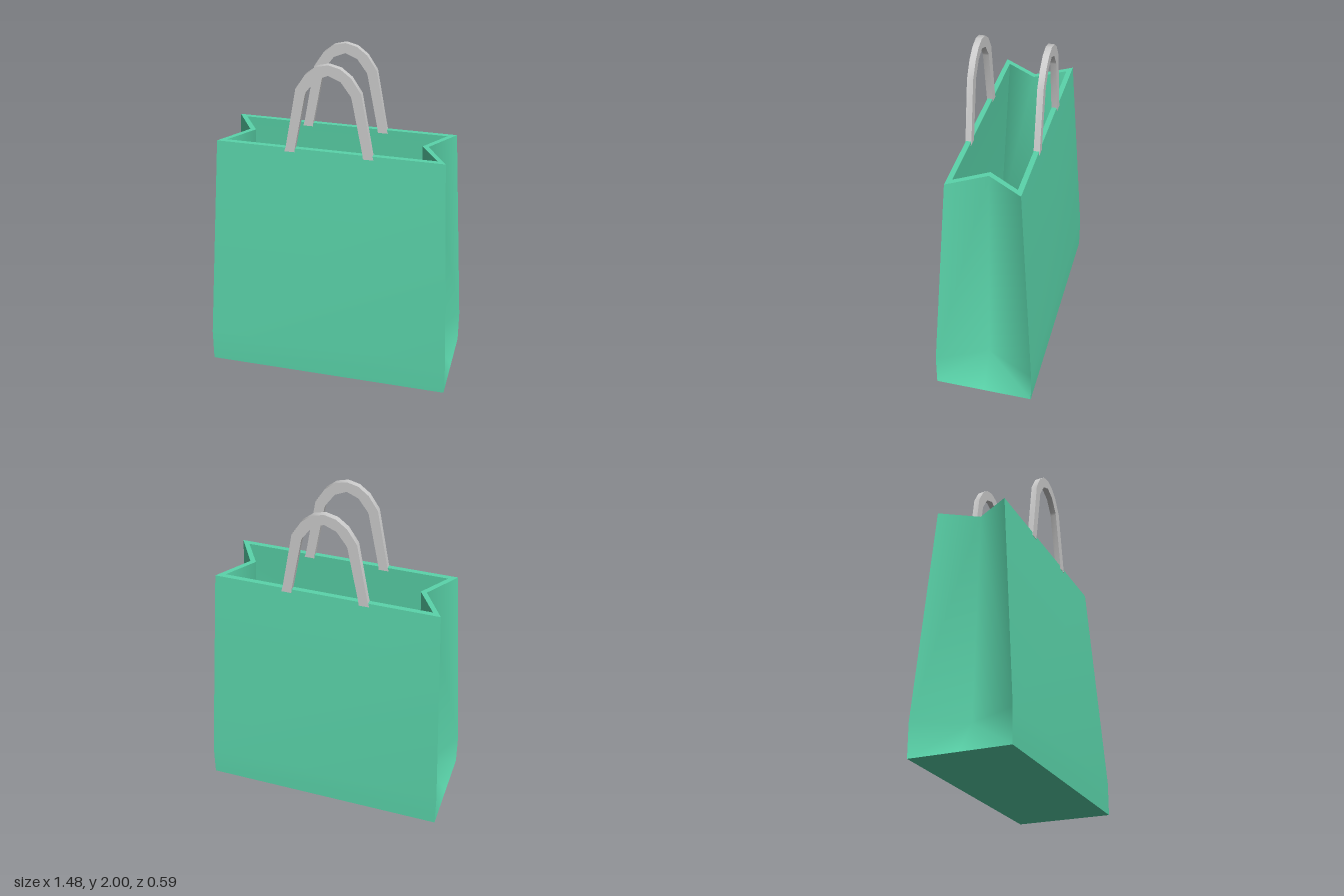
import * as THREE from 'three';
import { toCreasedNormals } from 'three/addons/utils/BufferGeometryUtils.js';

const green = new THREE.MeshStandardMaterial({ name: 'greenPaper', color: 0x5ad4aa });
const grey = new THREE.MeshStandardMaterial({ name: 'greyHandle', color: 0xcdcdcd });

// Six-point outline: four corners plus an inward fold at each side,
// counterclockwise seen from above.
function ring(y, cornerX, cornerZ, foldX) {
  return [
    [cornerX, y, cornerZ], [foldX, y, 0], [cornerX, y, -cornerZ],
    [-cornerX, y, -cornerZ], [-foldX, y, 0], [-cornerX, y, cornerZ],
  ];
}

// Strip of quads between two rings; the diagonals meet at the side folds.
function strip(a, b, out) {
  for (let i = 0; i < 6; i++) {
    const j = (i + 1) % 6;
    if (i === 1 || i === 4) out.push([a[i], a[j], b[i]], [a[j], b[j], b[i]]);
    else out.push([a[i], a[j], b[j]], [a[i], b[j], b[i]]);
  }
}

function cap(r, out) {
  for (let k = 2; k < 6; k++) out.push([r[1], r[k], r[(k + 1) % 6]]);
}

function paperMesh(name, triangles, flip = false) {
  const points = triangles.flatMap(t => (flip ? [t[0], t[2], t[1]] : t).flat());
  const geometry = new THREE.BufferGeometry();
  geometry.setAttribute('position', new THREE.Float32BufferAttribute(points, 3));
  geometry.computeVertexNormals();
  const mesh = new THREE.Mesh(toCreasedNormals(geometry, 1.2), green);
  mesh.name = name;
  return mesh;
}

function walls(name, rings, flip) {
  const triangles = [];
  for (let i = 0; i + 1 < rings.length; i++) strip(rings[i], rings[i + 1], triangles);
  return paperMesh(name, triangles, flip);
}

function panel(name, r, flip) {
  const triangles = [];
  cap(r, triangles);
  return paperMesh(name, triangles, flip);
}

// Flat arched band, mirrored about x = 0
function handleGeometry() {
  const outer = [[0.26, 1.463], [0.251, 1.495], [0.187, 1.848], [0.13, 1.935], [0.068, 1.983]];
  const inner = [[0.2, 1.463], [0.197, 1.49], [0.132, 1.82], [0.125, 1.835], [0.07, 1.91]];
  const mirror = p => [-p[0], p[1]];
  const outline = [
    ...outer, [0, 2], ...outer.map(mirror).reverse(),
    ...inner.map(mirror), [0, 1.94], ...[...inner].reverse(),
  ];
  const shape = new THREE.Shape(outline.map(p => new THREE.Vector2(...p)));
  const geometry = new THREE.ExtrudeGeometry(shape, { depth: 0.035, bevelEnabled: false });
  geometry.translate(0, 0, -0.0175);
  return toCreasedNormals(geometry, 0.75);
}

export function createModel() {
  const bag = new THREE.Group();
  bag.name = 'shoppingBag';

  const outer = [
    ring(0, 0.74, 0.295, 0.74),
    ring(0.2, 0.74, 0.295, 0.595),
    ring(1.485, 0.667, 0.21, 0.535),
  ];
  const inner = [
    ring(0.03, 0.69, 0.265, 0.69),
    ring(0.21, 0.69, 0.265, 0.56),
    ring(1.485, 0.615, 0.18, 0.5),
  ];

  // Paper body: outside, inside, top edge, base and floor
  bag.add(walls('outerWalls', outer, false));
  bag.add(walls('innerWalls', inner, true));
  bag.add(walls('topRim', [outer[2], inner[2]], false));
  bag.add(panel('base', outer[0], true));
  bag.add(panel('insideFloor', inner[0], false));

  // Front and back handles
  const band = handleGeometry();
  for (const [name, side] of [['frontHandle', 1], ['backHandle', -1]]) {
    const handle = new THREE.Mesh(band, grey);
    handle.name = name;
    handle.position.z = side * 0.196;
    bag.add(handle);
  }
  return bag;
}
